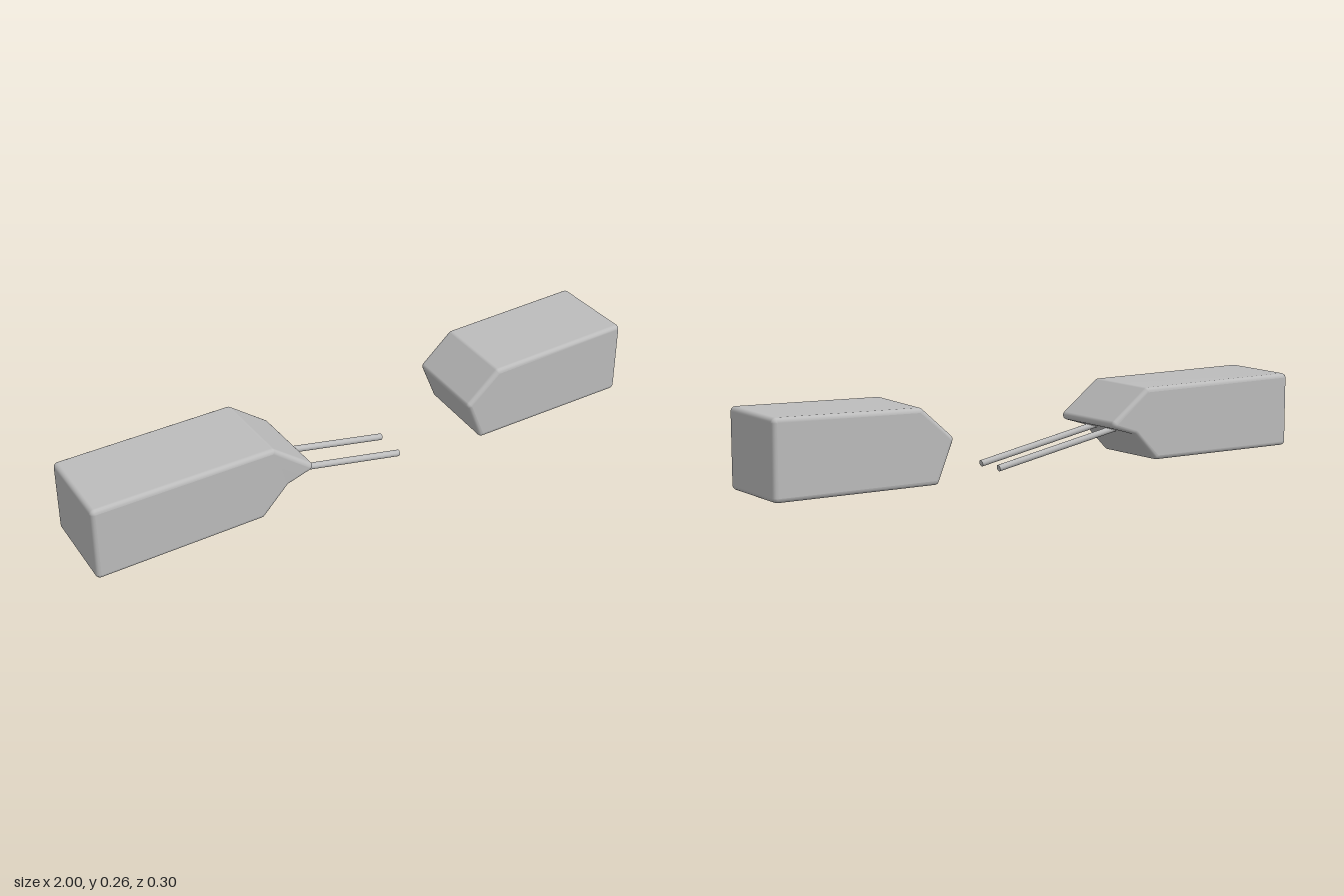
import * as THREE from 'three';
import { mergeVertices } from 'three/addons/utils/BufferGeometryUtils.js';

const RADIUS = 0.016; // rounding of every block edge

// Outline (counter-clockwise corners) with every corner rounded by an arc
function roundedOutline(corners) {
  const pts = corners.map(([x, y]) => new THREE.Vector2(x, y));
  const shape = new THREE.Shape();
  pts.forEach((p, i) => {
    const a = pts[(i + pts.length - 1) % pts.length].clone().sub(p).normalize();
    const b = pts[(i + 1) % pts.length].clone().sub(p).normalize();
    const half = Math.acos(a.dot(b)) / 2;
    const trim = RADIUS / Math.tan(half);
    const centre = a.clone().add(b).normalize().multiplyScalar(RADIUS / Math.sin(half)).add(p);
    const start = a.multiplyScalar(trim).add(p).sub(centre);
    const end = b.multiplyScalar(trim).add(p).sub(centre);
    const concave = start.cross(end) < 0;
    shape.absarc(centre.x, centre.y, RADIUS, start.angle(), end.angle(), concave);
  });
  return shape;
}

// Soft-edged block, very slightly wider towards the front
function makeBlock(name, corners, centreX, material) {
  const bevel = 0.015;
  let geo = new THREE.ExtrudeGeometry(roundedOutline(corners), {
    depth: 0.3 - 2 * bevel, curveSegments: 3, bevelEnabled: true,
    bevelThickness: bevel, bevelSize: bevel, bevelOffset: -bevel, bevelSegments: 4,
  });
  geo.translate(0, 0, -0.15 + bevel);
  const pos = geo.attributes.position;
  for (let i = 0; i < pos.count; i++) {
    const k = 1 + 0.07 * (pos.getZ(i) - 0.15);
    pos.setX(i, centreX + (pos.getX(i) - centreX) * k);
    pos.setY(i, 0.134 + (pos.getY(i) - 0.134) * k);
  }
  geo.deleteAttribute('normal');
  geo.deleteAttribute('uv');
  geo = mergeVertices(geo, 1e-5);
  geo.computeVertexNormals();
  const mesh = new THREE.Mesh(geo, material);
  mesh.name = name;
  return mesh;
}

// Straight round rod between two points
function makeRod(name, from, to, material) {
  const dir = to.clone().sub(from);
  const mesh = new THREE.Mesh(new THREE.CylinderGeometry(0.011, 0.011, dir.length(), 20), material);
  mesh.position.copy(from).add(to).multiplyScalar(0.5);
  mesh.quaternion.setFromUnitVectors(new THREE.Vector3(0, 1, 0), dir.normalize());
  mesh.name = name;
  return mesh;
}

export function createModel() {
  const model = new THREE.Group();
  model.name = 'blocksWithRods';
  const grey = new THREE.MeshStandardMaterial({ color: 0xbcbcbc });
  grey.name = 'plain grey';

  // Long block with an overhanging pointed nose
  model.add(makeBlock('nosedBlock', [
    [-1, 0.004], [-0.415, 0.004], [-0.323, 0.1], [-0.213, 0.133],
    [-0.372, 0.257], [-1, 0.266],
  ], -0.62, grey));

  // Shorter block with a chamfered end
  model.add(makeBlock('chamferedBlock', [
    [0.425, 0.004], [1, 0.004], [1, 0.266], [0.485, 0.257], [0.366, 0.152],
  ], 0.69, grey));

  // Pair of rods coming out under the nose
  [-0.023, 0.086].forEach((z, i) => {
    model.add(makeRod(i ? 'frontRod' : 'backRod',
      new THREE.Vector3(-0.36, 0.116, z - 0.013), new THREE.Vector3(0.133, 0.013, z), grey));
  });
  return model;
}
